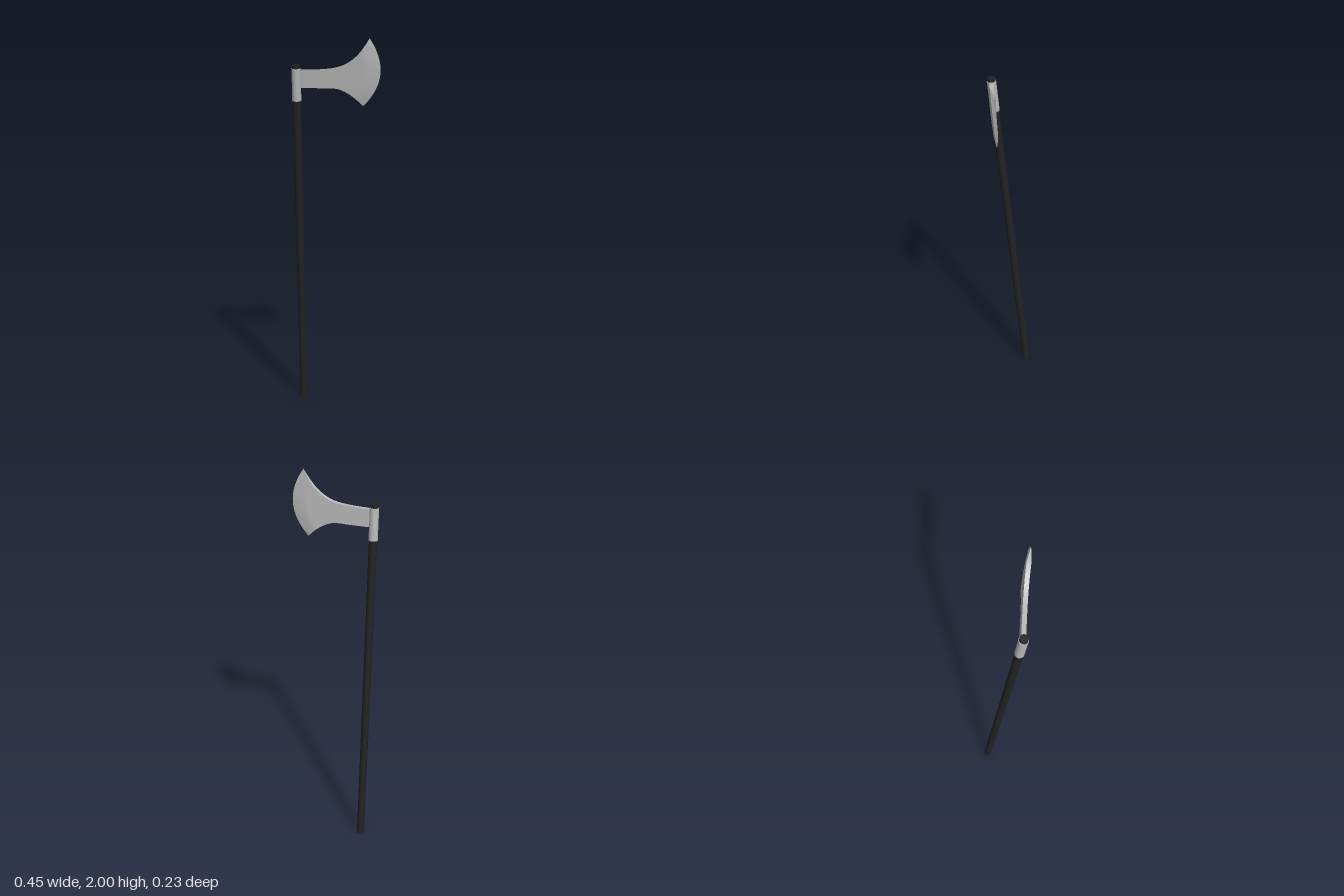
import * as THREE from 'three';
import { mergeGeometries } from 'three/addons/utils/BufferGeometryUtils.js';

const vec = (x, y, z) => new THREE.Vector3(x, y, z);
const curve = (pts) => new THREE.SplineCurve(pts.map(([x, y]) => new THREE.Vector2(x, y)));

// Handle axis, leaning slightly forward
const foot = vec(-0.207, 0.002, -0.095);
const tip = vec(-0.187, 1.867, 0.091);

// Cylinder running between two fractions of the handle axis
function rod(name, from, to, radius, material) {
  const a = foot.clone().lerp(tip, from);
  const b = foot.clone().lerp(tip, to);
  const mesh = new THREE.Mesh(new THREE.CylinderGeometry(radius, radius, a.distanceTo(b), 24), material);
  mesh.name = name;
  mesh.position.copy(a).lerp(b, 0.5);
  mesh.quaternion.setFromUnitVectors(vec(0, 1, 0), b.clone().sub(a).normalize());
  return mesh;
}

// Smooth grid surface from a rule (s, t) -> point, facing along s cross t
function sheet(rule, ns, nt) {
  const pos = [], idx = [];
  for (let i = 0; i <= ns; i++) {
    for (let j = 0; j <= nt; j++) pos.push(...rule(i / ns, j / nt).toArray());
  }
  for (let i = 0; i < ns; i++) {
    for (let j = 0; j < nt; j++) {
      const a = i * (nt + 1) + j, b = a + nt + 1;
      idx.push(a, b, b + 1, a, b + 1, a + 1);
    }
  }
  const g = new THREE.BufferGeometry();
  g.setAttribute('position', new THREE.Float32BufferAttribute(pos, 3));
  g.setIndex(idx);
  g.computeVertexNormals();
  return g;
}

// Blade outline: upper and lower edges flaring out to the horns
const upper = curve([[-0.185, 1.844], [-0.07, 1.849], [0.01, 1.86], [0.07, 1.886], [0.125, 1.933], [0.172, 2.0]]);
const lower = curve([[-0.185, 1.759], [-0.08, 1.759], [0, 1.759], [0.045, 1.747], [0.095, 1.717], [0.14, 1.675]]);

// Point on the blade: s toward the cutting edge, v bottom to top, side -1 back to +1 front
function bladePoint(s, v, side) {
  const p = lower.getPoint(s).lerp(upper.getPoint(s), v);
  const bow = 0.067 * s ** 3 * (1 - (2 * v - 1) ** 2);
  const half = 0.0105 * Math.min(1, (1 - s) / 0.17);
  const y = p.y - bow * 0.09;
  return vec(p.x + bow, y, 0.0885 + 0.09 * (y - 1.846) + side * half);
}

function bladeGeometry() {
  return mergeGeometries([
    sheet((s, t) => bladePoint(s, t, 1), 30, 16),
    sheet((s, t) => bladePoint(s, 1 - t, -1), 30, 16),
    sheet((s, t) => bladePoint(s, 1, 1 - 2 * t), 30, 1),
    sheet((s, t) => bladePoint(s, 0, 2 * t - 1), 30, 1),
  ]);
}

export function createModel() {
  const steel = new THREE.MeshStandardMaterial({ color: 0xb8b8b8 });
  steel.name = 'steel';
  const darkWood = new THREE.MeshStandardMaterial({ color: 0x222222 });
  darkWood.name = 'dark wood';

  const axe = new THREE.Group();
  axe.name = 'axe';
  axe.add(rod('handle', 0, 1, 0.02, darkWood));
  axe.add(rod('socket', 0.907, 0.992, 0.0225, steel));

  const blade = new THREE.Mesh(bladeGeometry(), steel);
  blade.name = 'blade';
  axe.add(blade);
  return axe;
}
